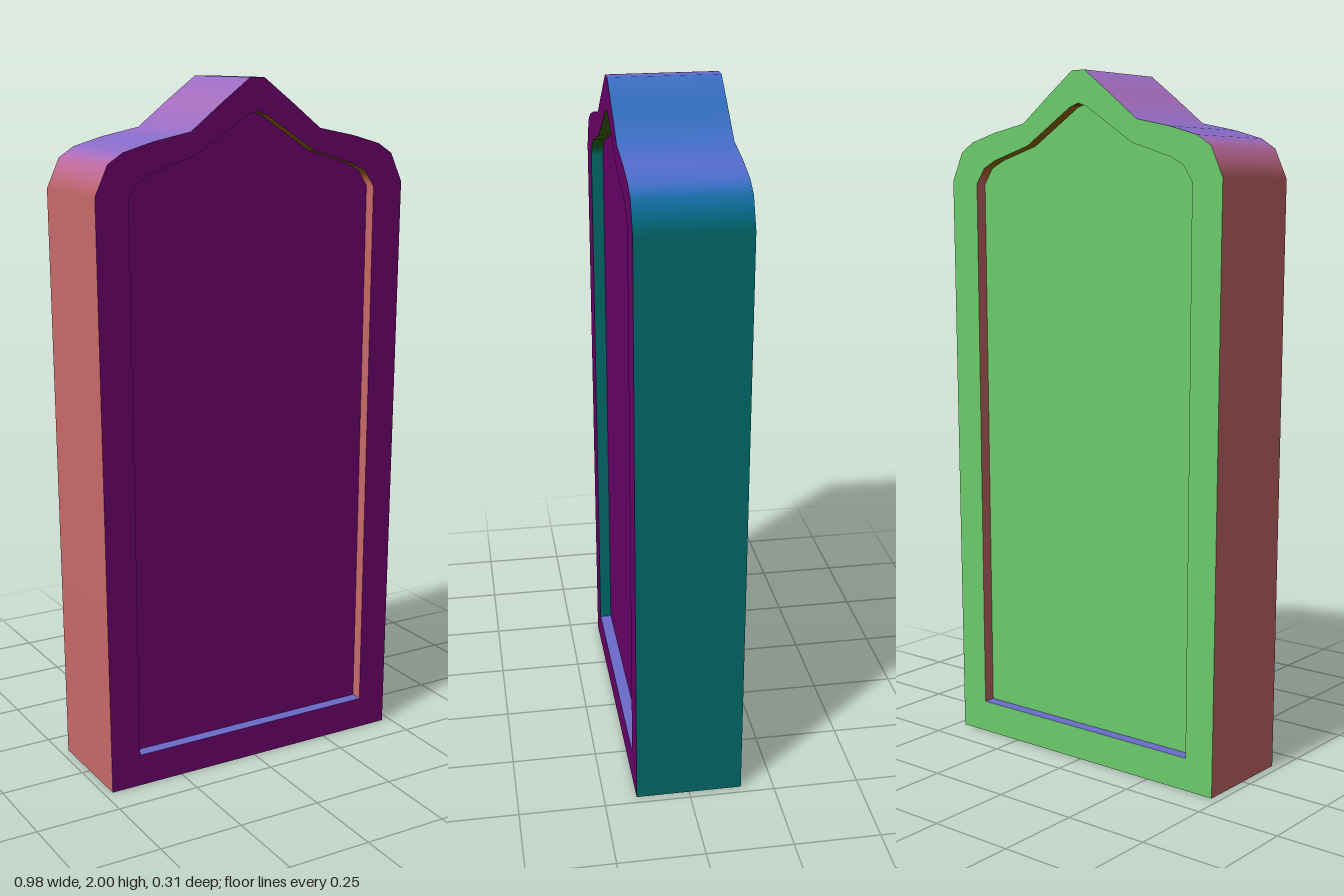
import * as THREE from 'three';

const FACE = 0.155; // z of the front face
const PANEL = 0.12; // z of the recessed front panel
const STEPS = 6; // colour bands per wall segment

// Right-hand halves of the symmetric outlines, bottom to top
const OUTER = [[0.475, 0], [0.491, 1.7], [0.453, 1.783], [0.408, 1.812], [0.32, 1.837], [0.206, 1.86], [0.112, 1.933], [0.022, 2]];
const INNER = [[0.385, 0.095], [0.393, 1.69], [0.363, 1.735], [0.32, 1.757], [0.19, 1.797], [0.03, 1.9], [0, 1.91]];

// Full counter-clockwise outline from one half
function outline(half) {
  const left = half.filter(([x]) => x > 0).reverse().map(([x, y]) => [-x, y]);
  return [...half, ...left].map(([x, y]) => new THREE.Vector2(x, y));
}

// Tint that follows the direction a surface faces
function tint(nx, ny, nz) {
  const [r, g, b] = [-nx, -nz, ny].map((n) => 0.8 * Math.max(0, 0.5 + 0.5 * n) ** 0.93);
  const color = new THREE.Color().setRGB(r, g, b, THREE.SRGBColorSpace);
  return new THREE.MeshStandardMaterial({ color });
}

// Smooth wall along a closed outline, in tinted bands, with sharp corners kept
function wall(name, points, z0, z1) {
  const count = points.length;
  const at = (i) => points[(i + count) % count];
  // Edge normal, weighted by edge length
  const edgeNormal = (i) => {
    const d = at(i + 1).clone().sub(at(i));
    return new THREE.Vector2(d.y, -d.x);
  };
  const blend = (own, other) => {
    const sharp = own.angleTo(other) > 0.9;
    return (sharp ? own.clone() : own.clone().add(other)).normalize();
  };

  const positions = [];
  const normals = [];
  const indices = [];
  const materials = [];
  const geometry = new THREE.BufferGeometry();
  for (let i = 0; i < count; i++) {
    const own = edgeNormal(i);
    const startNormal = blend(own, edgeNormal(i - 1));
    const endNormal = blend(own, edgeNormal(i + 1));
    const normalAt = (t) => startNormal.clone().lerp(endNormal, t).normalize();
    for (let s = 0; s < STEPS; s++) {
      const base = positions.length / 3;
      for (const t of [s / STEPS, (s + 1) / STEPS]) {
        const p = at(i).clone().lerp(at(i + 1), t);
        const n = normalAt(t);
        positions.push(p.x, p.y, z1, p.x, p.y, z0);
        normals.push(n.x, n.y, 0, n.x, n.y, 0);
      }
      geometry.addGroup(indices.length, 6, materials.length);
      indices.push(base, base + 1, base + 3, base, base + 3, base + 2);
      const middle = normalAt((s + 0.5) / STEPS);
      materials.push(tint(middle.x, middle.y, 0));
    }
  }
  geometry.setAttribute('position', new THREE.Float32BufferAttribute(positions, 3));
  geometry.setAttribute('normal', new THREE.Float32BufferAttribute(normals, 3));
  geometry.setIndex(indices);
  const mesh = new THREE.Mesh(geometry, materials);
  mesh.name = name;
  return mesh;
}

export function createModel() {
  const group = new THREE.Group();
  group.name = 'archedSlab';
  const inner = outline(INNER);
  const inward = [...inner].reverse();

  // Outer edge of the slab
  group.add(wall('rim', outline(OUTER), -FACE, FACE));

  // Flat border and recessed panel, the same on both faces
  const border = new THREE.Shape(outline(OUTER));
  border.holes.push(new THREE.Path(inward));
  const borderGeometry = new THREE.ShapeGeometry(border);
  const panelGeometry = new THREE.ShapeGeometry(new THREE.Shape(inner));
  for (const side of [1, -1]) {
    const prefix = side > 0 ? 'front' : 'back';
    const material = tint(0, 0, side);
    for (const [part, geometry, z] of [['Border', borderGeometry, FACE], ['Panel', panelGeometry, PANEL]]) {
      const mesh = new THREE.Mesh(geometry, material);
      mesh.name = prefix + part;
      mesh.position.z = side * z;
      if (side < 0) mesh.rotation.y = Math.PI;
      group.add(mesh);
    }
    // Step between border and panel
    const [z0, z1] = side > 0 ? [PANEL, FACE] : [-FACE, -PANEL];
    group.add(wall(prefix + 'RecessWall', inward, z0, z1));
  }
  return group;
}
